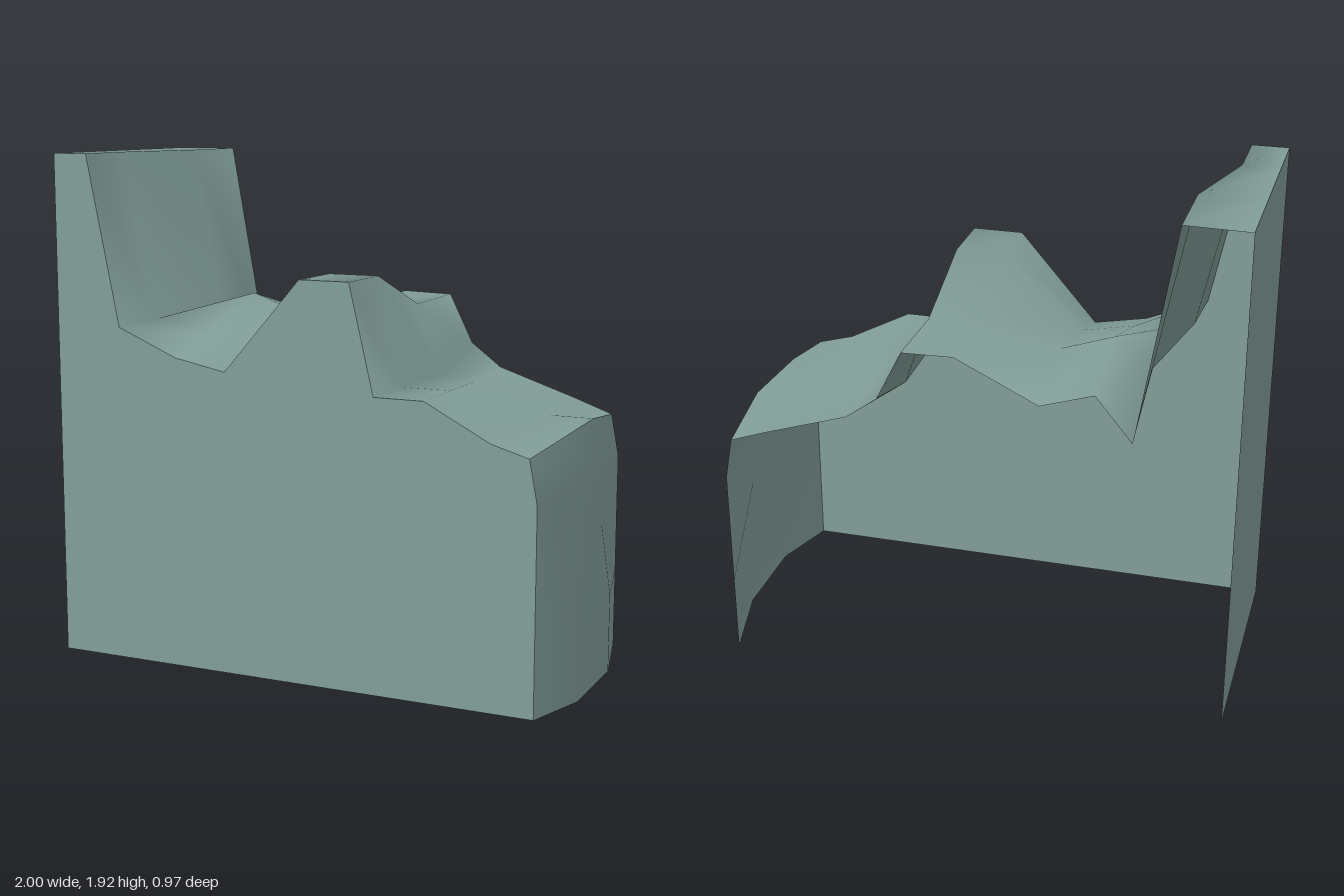
import * as THREE from 'three';

const stone = new THREE.MeshStandardMaterial({ color: 0x829e98, side: THREE.DoubleSide });
stone.name = 'greyGreenStone';

// Smooth sheet through rows of [x, y, z] points, all rows the same length
function sheet(name, rows) {
  const n = rows[0].length, index = [];
  for (let r = 0; r < rows.length - 1; r++) {
    for (let i = 0; i < n - 1; i++) {
      const a = r * n + i, b = a + 1, d = a + n, c = d + 1;
      index.push(a, b, c, a, c, d);
    }
  }
  const geo = new THREE.BufferGeometry();
  geo.setAttribute('position', new THREE.Float32BufferAttribute(rows.flat(2), 3));
  geo.setIndex(index);
  geo.computeVertexNormals();
  const mesh = new THREE.Mesh(geo, stone);
  mesh.name = name;
  return mesh;
}

// Depth of the four cross-sections, front to back
const depths = [0.48, 0.23, -0.14, -0.475];

// Ground profiles [x, y], one per depth
const profiles = [
  [[-1, 1.92], [-0.86, 1.92], [-0.73, 1.28], [-0.49, 1.18], [-0.285, 1.14], [0.02, 1.49],
    [0.215, 1.49], [0.31, 1.09], [0.5, 1.09], [0.75, 0.96], [0.89, 0.92]],
  [[-1, 1.92], [-0.86, 1.92], [-0.72, 1.285], [-0.49, 1.25], [-0.29, 1.21], [0.02, 1.49],
    [0.215, 1.49], [0.31, 1.09], [0.5, 1.09], [0.75, 0.96], [0.915, 0.945]],
  [[-1, 1.92], [-0.76, 1.92], [-0.63, 1.25], [-0.49, 1.36], [-0.29, 1.29], [0.02, 1.35],
    [0.215, 1.35], [0.31, 1.08], [0.45, 1.065], [0.75, 0.96], [0.92, 0.96]],
  [[-1, 1.92], [-0.76, 1.92], [-0.63, 1.115], [-0.49, 1.275], [-0.29, 1.21], [0.02, 1.36],
    [0.215, 1.355], [0.31, 1.165], [0.43, 1.075], [0.75, 0.97], [0.89, 0.92]],
];

// Outline of the end cliff below its rim: outer sections and bulging middle
const cliffOuter = [[0.92, 0.76], [0.92, 0.57], [0.92, 0.3], [0.92, 0]];
const cliffMiddle = [[0.96, 0.77], [0.96, 0.57], [1, 0.3], [1, 0]];

export function createModel() {
  const model = new THREE.Group();
  model.name = 'cliffTerrain';

  // Rolling top surface
  const top = profiles.map((p, r) => p.map(([x, y]) => [x, y, depths[r]]));
  top[3][1][2] = -0.465;
  top[3][2][2] = -0.49;
  model.add(sheet('groundSurface', top));

  // Bulging cliff at the low end
  const cliff = profiles.map((p, r) =>
    [p[p.length - 1], ...(r === 0 || r === 3 ? cliffOuter : cliffMiddle)]
      .map(([x, y]) => [x, y, depths[r]]).reverse());
  model.add(sheet('endCliff', cliff.reverse()));

  // Flat front wall following the front profile
  const outline = [[-1, 0], ...profiles[0], ...cliffOuter];
  const shape = new THREE.Shape(outline.map(([x, y]) => new THREE.Vector2(x, y)));
  const front = new THREE.Mesh(new THREE.ShapeGeometry(shape), stone);
  front.name = 'frontWall';
  front.position.z = depths[0];
  model.add(front);

  // Flat wall at the tall end; back and underside stay open
  model.add(sheet('tallEndWall', [
    [[-1, 0, depths[3]], [-1, 0, depths[0]]],
    [[-1, 1.92, depths[3]], [-1, 1.92, depths[0]]],
  ]));

  // The cliff rows run bottom to top from back to front, so face them outward
  const cliffMesh = model.getObjectByName('endCliff');
  const idx = cliffMesh.geometry.index;
  const p = cliffMesh.geometry.attributes.normal;
  if (p.getX(0) < 0) {
    for (let i = 0; i < idx.count; i += 3) {
      const a = idx.getX(i);
      idx.setX(i, idx.getX(i + 1));
      idx.setX(i + 1, a);
    }
    cliffMesh.geometry.computeVertexNormals();
  }
  return model;
}
